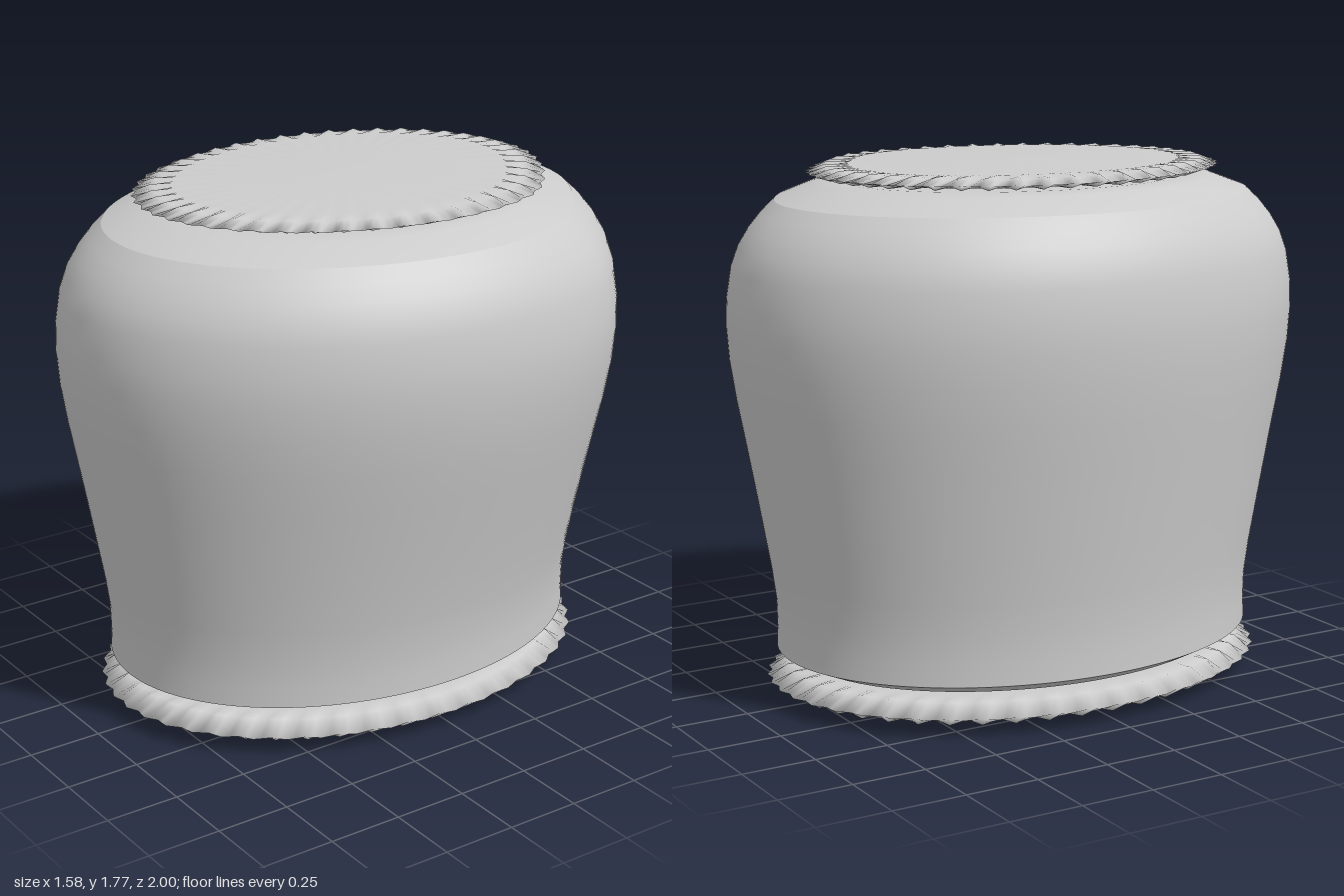
import * as THREE from 'three';

const FLUTES = 45;
const SEGMENTS = FLUTES * 4;
const ASPECT = 0.755; // width of the oval relative to its depth
const CENTRE_X = -0.03;

// Soft swelling on the left-back side, growing from the foot to the shoulder
function bulge(t, y) {
  const d = THREE.MathUtils.radToDeg(t > Math.PI ? t - 2 * Math.PI : t) + 32;
  const width = d < 0 ? 14 : 45;
  return 0.085 * Math.exp(-(d * d) / (2 * width * width)) * THREE.MathUtils.smoothstep(y, 0.1, 1.25);
}

// Oval loft through rings [radius, y, radial ripple, vertical ripple], bottom to top
function ovalLoft(rings) {
  const pos = [], index = [];
  rings.forEach(([r, y, ripple = 0, lift = 0]) => {
    for (let j = 0; j < SEGMENTS; j++) {
      const t = (j / SEGMENTS) * Math.PI * 2;
      const wave = Math.cos(t * FLUTES);
      const rad = r + ripple * wave;
      pos.push(
        CENTRE_X + Math.cos(t) * rad * ASPECT + bulge(t, y) * r,
        y + lift * wave,
        Math.sin(t) * rad
      );
    }
  });
  for (let i = 0; i < rings.length - 1; i++) {
    for (let j = 0; j < SEGMENTS; j++) {
      const k = (j + 1) % SEGMENTS;
      const a = i * SEGMENTS + j, b = i * SEGMENTS + k;
      const c = a + SEGMENTS, d = b + SEGMENTS;
      index.push(a, c, b, b, c, d);
    }
  }
  const geo = new THREE.BufferGeometry();
  geo.setAttribute('position', new THREE.Float32BufferAttribute(pos, 3));
  geo.setIndex(index);
  geo.computeVertexNormals();
  return geo;
}

// Thin lens-shaped disc with a fluted rim
function flutedDisc(radius, bottom, low, rim, high, top) {
  return ovalLoft([
    [0, bottom], [radius - 0.15, low - 0.006],
    [radius - 0.08, low, -0.014, 0.006],
    [radius - 0.006, rim, 0.008],
    [radius - 0.08, high, -0.014, -0.006],
    [radius - 0.15, high + 0.006], [0, top],
  ]);
}

export function createModel() {
  const group = new THREE.Group();
  const grey = new THREE.MeshStandardMaterial({ color: 0xcccccc });
  const add = (name, geo) => {
    const mesh = new THREE.Mesh(geo, grey);
    mesh.name = name;
    group.add(mesh);
  };

  // Body wall, tapering to the foot and rounded at the shoulder
  add('body', ovalLoft([
    [0.85, 0.16], [0.848, 0.23], [0.85, 0.32], [0.865, 0.43], [0.89, 0.57], [0.917, 0.72],
    [0.945, 0.87], [0.972, 1.01], [0.992, 1.14], [1.0, 1.25], [0.997, 1.34],
    [0.98, 1.44], [0.955, 1.505], [0.92, 1.56], [0.877, 1.61], [0.83, 1.652],
  ]));

  // Sloping faces that close the body above and below
  add('bodyTop', ovalLoft([[0.83, 1.652], [0.7, 1.7], [0.62, 1.71], [0, 1.715]]));
  add('bodyUnderside', ovalLoft([[0, 0.108], [0.7, 0.115], [0.77, 0.125], [0.85, 0.16]]));

  // Fluted lid and base discs
  add('lid', flutedDisc(0.725, 1.716, 1.724, 1.737, 1.753, 1.766));
  add('base', flutedDisc(0.885, 0.0, 0.032, 0.06, 0.098, 0.108));

  return group;
}
